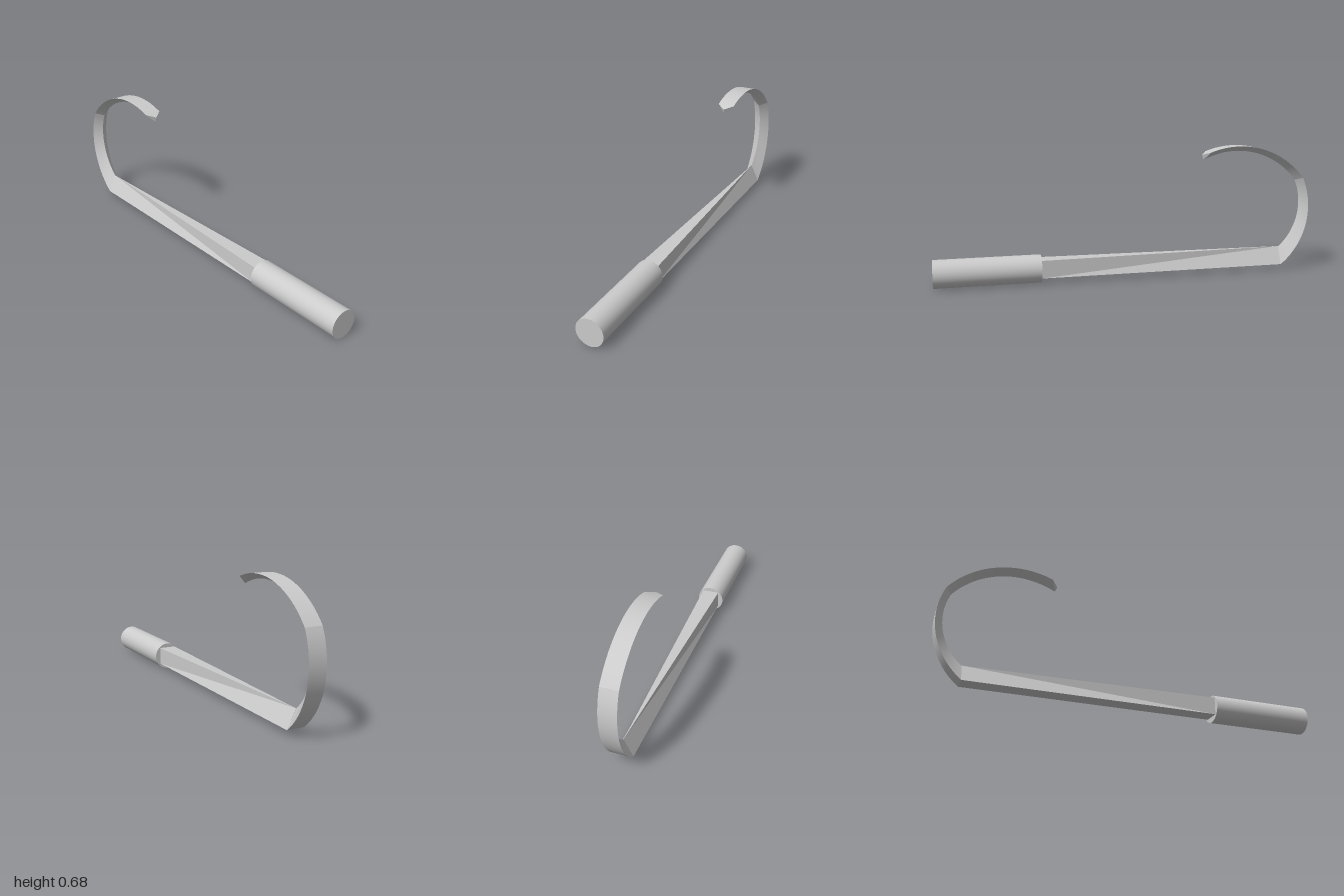
import * as THREE from 'three';

const W = 0.045; // half width of shaft and blade
const material = new THREE.MeshStandardMaterial({ color: 0xcccccc });

function mesh(name, geometry) {
  const m = new THREE.Mesh(geometry, material);
  m.name = name;
  return m;
}

// Flat facets from a list of triangles given as points
function facets(triangles) {
  const g = new THREE.BufferGeometry().setFromPoints(triangles.flat());
  g.computeVertexNormals();
  return g;
}

// Smooth ribbon between two rows of points
function ribbon(a, b) {
  const g = new THREE.BufferGeometry().setFromPoints([...a, ...b]);
  const n = a.length, index = [];
  for (let i = 0; i < n - 1; i++) index.push(i, n + i, i + 1, n + i, n + i + 1, i + 1);
  g.setIndex(index);
  g.computeVertexNormals();
  return g;
}

// Circular arc in the plane at x; angle 0 points to the back, 90 points up
function arc({ z, y, r, from, to }, x, n = 20) {
  return Array.from({ length: n + 1 }, (_, i) => {
    const t = THREE.MathUtils.degToRad(from + (to - from) * i / n);
    return new THREE.Vector3(x, y + r * Math.sin(t), z - r * Math.cos(t));
  });
}

export function createModel() {
  const group = new THREE.Group();
  const P = (x, y, z) => new THREE.Vector3(x, y, z);

  // Round handle
  const handle = mesh('handle', new THREE.CylinderGeometry(0.072, 0.072, 0.54, 48));
  handle.rotation.x = Math.PI / 2;
  handle.position.set(0, 0.073, 0.73);
  group.add(handle);

  // Shaft: square at the handle, its top narrowing to a ridge at the blade
  const y0 = 0.03, y1 = 0.122, zf = 0.46, zb = -0.85;
  const fl = P(W, y0, zf), fr = P(-W, y0, zf), tl = P(W, y1, zf), tr = P(-W, y1, zf);
  const bl = P(W, y0, zb), br = P(-W, y0, zb), apex = P(0, y1, zb);
  group.add(mesh('shaft', facets([
    [tl, apex, tr],
    [fl, apex, tl], [fl, bl, apex],
    [fr, tr, apex], [fr, apex, br],
    [fl, fr, br], [fl, br, bl],
  ])));

  // Hooked blade: two arcs with a flat outer face and an inner ridge
  const blade = new THREE.Group();
  blade.name = 'blade';
  const sections = [
    { name: 'lowerBlade',
      outer: { z: -0.611, y: 0.337, r: 0.389, from: -52.1, to: 25.3 },
      ridge: { z: -0.649, y: 0.36, r: 0.313, from: -50.1, to: 23.9 } },
    { name: 'upperBlade',
      outer: { z: -0.598, y: 0.215, r: 0.465, from: 38.3, to: 110.5 },
      ridge: { z: -0.598, y: 0.226, r: 0.427, from: 37.7, to: 116.1 } },
  ];
  let left, right, ridge;
  for (const s of sections) {
    left = arc(s.outer, W);
    right = arc(s.outer, -W);
    ridge = arc(s.ridge, 0);
    blade.add(
      mesh(s.name + 'Outer', ribbon(left, right)),
      mesh(s.name + 'RightBevel', ribbon(right, ridge)),
      mesh(s.name + 'LeftBevel', ribbon(ridge, left)),
    );
  }

  // Pointed tip closing the blade
  const l = left.at(-1), r = right.at(-1), k = ridge.at(-1), tip = P(0, 0.636, -0.4);
  blade.add(mesh('bladeTip', facets([[l, r, tip], [r, k, tip], [k, l, tip]])));
  group.add(blade);

  return group;
}
